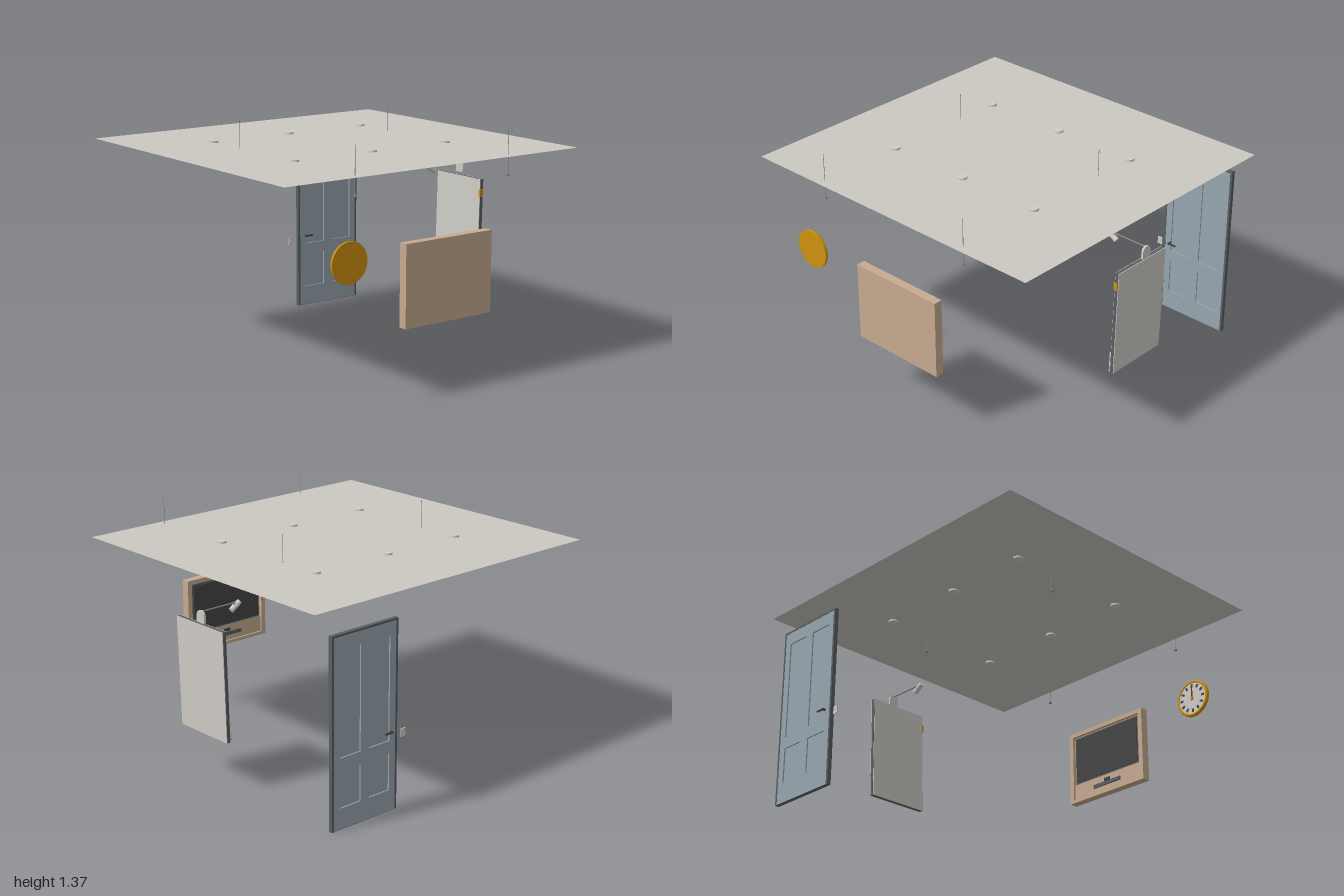
import * as THREE from 'three';

const mat = (name, color, side = THREE.FrontSide) => {
  const m = new THREE.MeshStandardMaterial({ color, side });
  m.name = name;
  return m;
};

export function createModel() {
  const root = new THREE.Group();
  root.name = 'roomFittings';
  const ceilingGrey = mat('ceilingGrey', 0xcbc7c1, THREE.DoubleSide);
  const white = mat('offWhite', 0xcfccc6);
  const gold = mat('gold', 0xd0920e);
  const tan = mat('tan', 0xc6aa90);
  const blue = mat('doorBlue', 0x98a6ae);
  const frameGrey = mat('frameGrey', 0x5a5e62);
  const dark = mat('charcoal', 0x454545);
  const metal = mat('metal', 0x8c8a87);

  const add = (parent, name, geo, material, x = 0, y = 0, z = 0) => {
    const m = new THREE.Mesh(geo, material);
    m.name = name;
    m.position.set(x, y, z);
    parent.add(m);
    return m;
  };
  const group = (name, x = 0, y = 0, z = 0) => {
    const g = new THREE.Group();
    g.name = name;
    g.position.set(x, y, z);
    root.add(g);
    return g;
  };
  // box given by its two opposite corners
  const box = (parent, name, material, x0, x1, y0, y1, z0, z1) =>
    add(parent, name, new THREE.BoxGeometry(x1 - x0, y1 - y0, z1 - z0), material,
      (x0 + x1) / 2, (y0 + y1) / 2, (z0 + z1) / 2);
  const corners = (x0, x1, y0, y1) => [[x0, y0], [x1, y0], [x1, y1], [x0, y1]].map(p => new THREE.Vector2(...p));
  // rectangular slab with rectangular openings
  const pierced = (parent, name, material, outer, holes, z0, z1) => {
    const s = new THREE.Shape(corners(...outer));
    holes.forEach(h => s.holes.push(new THREE.Path(corners(...h).reverse())));
    return add(parent, name, new THREE.ExtrudeGeometry(s, { depth: z1 - z0, bevelEnabled: false }), material, 0, 0, z0);
  };

  // ceiling sheet
  const ceiling = add(root, 'ceiling', new THREE.PlaneGeometry(2, 1.895), ceilingGrey, 0, 1.211, 0.003);
  ceiling.rotation.x = -Math.PI / 2;

  // round ceiling lights
  for (const x of [-0.525, 0, 0.525]) for (const z of [-0.42, 0.37]) {
    add(root, 'ceilingLight', new THREE.CylinderGeometry(0.027, 0.03, 0.022, 32), white, x, 1.211, z);
  }

  // hanging sprinklers with thin supply rods
  const bob = [[0, 0], [0.007, 0.001], [0.01, 0.007], [0.007, 0.013], [0.003, 0.018], [0.002, 0.03], [0, 0.03]]
    .map(p => new THREE.Vector2(...p));
  for (const x of [-0.525, 0.525]) for (const z of [-0.155, 0.9]) {
    const g = group('sprinkler', x, 1.098, z);
    add(g, 'sprinklerHead', new THREE.LatheGeometry(bob, 16), metal);
    add(g, 'sprinklerRod', new THREE.CylinderGeometry(0.0015, 0.0015, 0.245, 8), metal, 0, 0.149, 0);
  }

  // wall clock, dial towards -z
  const clock = group('clock', -0.6, 0.776, 0.948);
  const disc = (name, r, depth, material, z) => {
    add(clock, name, new THREE.CylinderGeometry(r, r, depth, 48), material, 0, 0, z).rotation.x = Math.PI / 2;
  };
  disc('clockBody', 0.113, 0.012, gold, 0.003);
  add(clock, 'clockRim', new THREE.TorusGeometry(0.104, 0.009, 8, 48), gold, 0, 0, -0.002);
  disc('clockDial', 0.098, 0.004, white, -0.005);
  for (let i = 0; i < 12; i++) {
    const a = i * Math.PI / 6;
    const tick = add(clock, 'hourMark', new THREE.BoxGeometry(0.013, 0.022, 0.003), dark,
      Math.sin(a) * 0.078, Math.cos(a) * 0.078, -0.008);
    tick.rotation.z = -a;
  }
  box(clock, 'hourHand', gold, -0.006, 0.006, -0.01, 0.045, -0.011, -0.007);
  box(clock, 'minuteHand', dark, -0.003, 0.003, -0.015, 0.065, -0.013, -0.011);
  disc('handPin', 0.009, 0.006, gold, -0.011);

  // wall screen, display towards -z
  const tv = group('wallScreen');
  box(tv, 'screenBack', tan, -0.23, 0.365, 0.365, 0.825, 0.925, 0.956);
  pierced(tv, 'screenFrame', tan, [-0.23, 0.365, 0.365, 0.825], [[-0.2, 0.335, 0.385, 0.8]], 0.905, 0.925);
  box(tv, 'lowerPanel', tan, -0.2, 0.335, 0.385, 0.485, 0.917, 0.925);
  box(tv, 'bezel', frameGrey, -0.19, 0.325, 0.485, 0.792, 0.918, 0.925);
  box(tv, 'display', dark, -0.18, 0.315, 0.495, 0.782, 0.913, 0.918);
  box(tv, 'controlTray', frameGrey, -0.04, 0.175, 0.418, 0.44, 0.908, 0.917);
  box(tv, 'controlKnob', dark, 0.045, 0.09, 0.445, 0.462, 0.91, 0.917);

  // panelled door
  const door = group('door');
  pierced(door, 'doorFrame', frameGrey, [0.42, 0.88, 0, 1.07], [[0.433, 0.867, 0.002, 1.058]], -0.937, -0.913);
  box(door, 'doorCore', blue, 0.433, 0.867, 0.002, 1.058, -0.928, -0.922);
  const panels = [];
  for (const [x0, x1] of [[0.475, 0.62], [0.68, 0.825]]) panels.push([x0, x1, 0.12, 0.33], [x0, x1, 0.4, 0.985]);
  for (const [z0, z1] of [[-0.936, -0.928], [-0.922, -0.914]]) {
    pierced(door, 'doorLeaf', blue, [0.433, 0.867, 0.002, 1.058], panels, z0, z1);
  }
  for (const s of [-1, 1]) {
    const zc = -0.925 + s * 0.019;
    box(door, 'handlePost', dark, 0.466, 0.474, 0.446, 0.458, zc - 0.012, zc + 0.012);
    box(door, 'handleLever', dark, 0.466, 0.52, 0.447, 0.457, zc + s * 0.009 - 0.003, zc + s * 0.009 + 0.003);
  }

  // light switch beside the door
  box(root, 'switchPlate', white, 0.36, 0.392, 0.4, 0.446, -0.94, -0.934);
  box(root, 'switchRocker', white, 0.369, 0.383, 0.412, 0.434, -0.934, -0.931);

  // leaning board on the side wall
  const board = group('sideBoard', 0.96, 0.608, 0.004);
  board.rotation.z = -0.024;
  box(board, 'boardCore', frameGrey, -0.011, 0.009, -0.316, 0.316, -0.196, 0.196);
  box(board, 'boardBack', white, 0.009, 0.013, -0.316, 0.316, -0.196, 0.196);
  box(board, 'boardFace', white, -0.014, -0.011, -0.316, 0.316, -0.194, 0.194);
  box(board, 'lowerLedge', white, -0.02, -0.014, -0.316, -0.195, -0.196, 0.196);
  box(board, 'edgeClip', gold, -0.017, 0.005, 0.21, 0.257, 0.188, 0.2);

  // arm lamp above the board
  const lamp = group('armLamp', 0, 0, -0.018);
  const plate = new THREE.Shape();
  plate.moveTo(-0.032, 0.938);
  plate.lineTo(0.032, 0.938);
  plate.lineTo(0.032, 0.976);
  plate.absarc(0, 0.976, 0.032, 0, Math.PI, false);
  plate.closePath();
  const mount = add(lamp, 'wallMount', new THREE.ExtrudeGeometry(plate, { depth: 0.012, bevelEnabled: false }), white, 0.976);
  mount.rotation.y = Math.PI / 2;
  const arm = add(lamp, 'arm', new THREE.CylinderGeometry(0.004, 0.004, 0.23, 12), metal, 0.865, 1.0, 0);
  arm.rotation.z = Math.PI / 2;
  const head = add(lamp, 'lampHead', new THREE.CylinderGeometry(0.016, 0.016, 0.07, 24), white, 0.75, 0.981, 0);
  head.rotation.z = Math.PI / 2 - 0.58;
  add(lamp, 'lampJoint', new THREE.SphereGeometry(0.008, 12, 8), metal, 0.757, 0.998, 0);

  return root;
}
